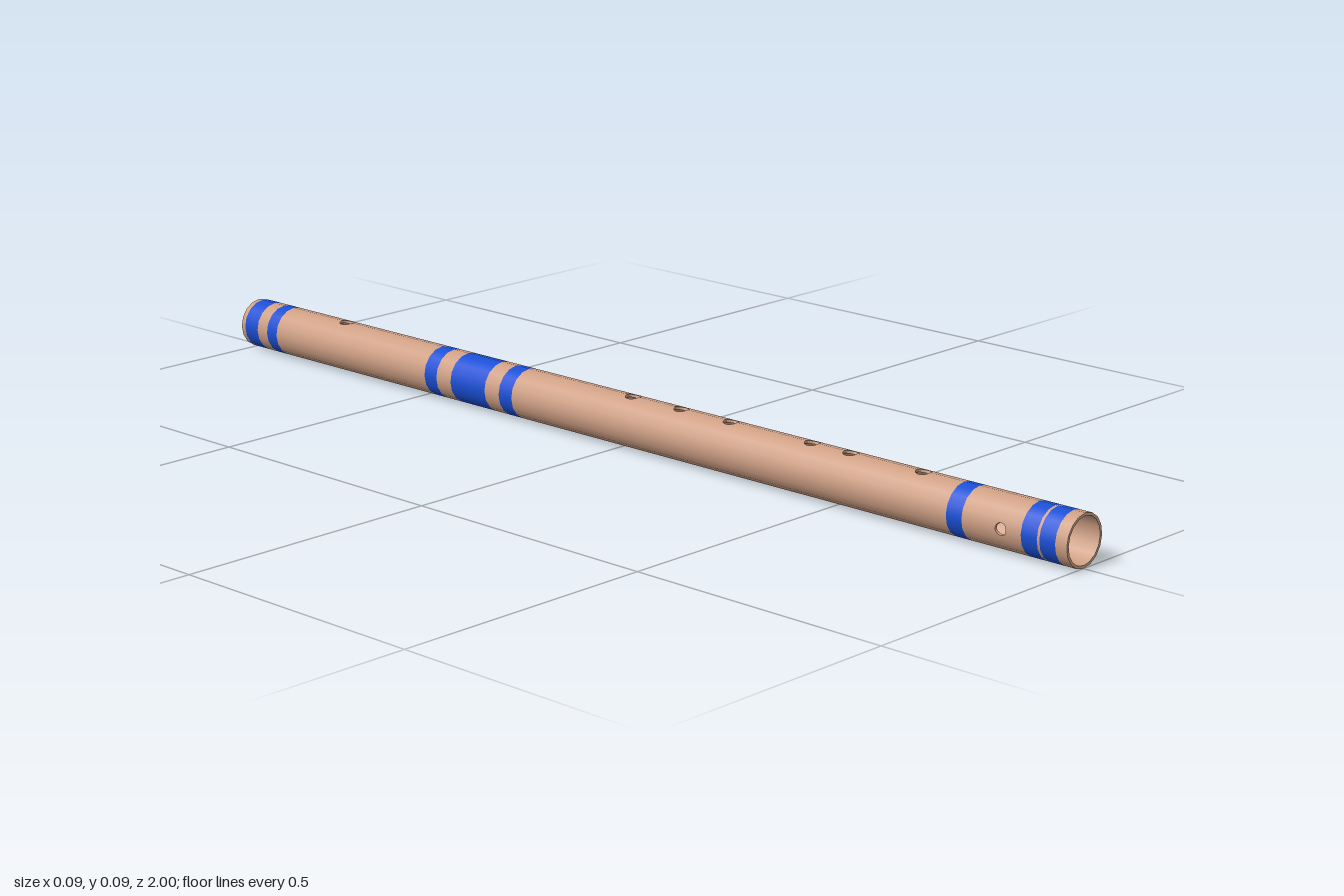
import * as THREE from 'three';
import { mergeGeometries } from 'three/addons/utils/BufferGeometryUtils.js';

const SIDES = 16, R_OUT = 0.0465, R_IN = 0.0415;
const FACET = (Math.PI * 2) / SIDES;
const UP = Math.PI, SIDE = Math.PI * 1.5; // angles round the tube
const PATCH = 0.018; // half length of the wall patch round a hole

// Painted bands: [start, end] along the tube
const BANDS = [
  [-0.99, -0.953], [-0.925, -0.897], [-0.478, -0.446], [-0.408, -0.318],
  [-0.281, -0.248], [0.757, 0.789], [0.909, 0.941], [0.946, 0.977],
];

// Holes: position along the tube, angle, radius
const HOLES = [
  ...[-0.743, 0.013, 0.13, 0.246, 0.431, 0.516, 0.672].map((z) => ({ z, angle: UP, r: 0.014 })),
  { z: 0.868, angle: SIDE, r: 0.011 },
];

// Surface of revolution between two profile points, optionally leaving a gap at an angle
function turned(r0, z0, r1, z1, gapAngle = null) {
  const profile = [new THREE.Vector2(r0, z0), new THREE.Vector2(r1, z1)];
  return gapAngle === null
    ? new THREE.LatheGeometry(profile, SIDES)
    : new THREE.LatheGeometry(profile, SIDES - 2, gapAngle + FACET, Math.PI * 2 - 2 * FACET);
}

// Outer and inner wall over one stretch of tube
function wall(z0, z1, gapAngle = null) {
  return mergeGeometries([
    turned(R_OUT, z0, R_OUT, z1, gapAngle),
    turned(R_IN, z1, R_IN, z0, gapAngle),
  ]);
}

// Flat plate with a round hole, bent to follow the tube wall
function holePatch({ z, angle, r }) {
  const w = FACET * R_OUT;
  const plate = new THREE.Shape([
    [-w, -PATCH], [0, -PATCH], [w, -PATCH], [w, PATCH], [0, PATCH], [-w, PATCH],
  ].map(([x, y]) => new THREE.Vector2(x, y)));
  plate.holes.push(new THREE.Path().absarc(0, 0, r, 0, Math.PI * 2, true));
  const geo = new THREE.ExtrudeGeometry(plate, { depth: R_OUT - R_IN, bevelEnabled: false, curveSegments: 10 });
  const pos = geo.attributes.position, nor = geo.attributes.normal;
  const axis = new THREE.Vector3(0, 1, 0), n = new THREE.Vector3();
  for (let i = 0; i < pos.count; i++) {
    const turn = pos.getX(i) / R_OUT, phi = angle + turn;
    const facet = Math.cos(FACET / 2) / Math.cos(Math.abs(turn) - FACET / 2);
    const radius = (R_IN + pos.getZ(i)) * facet;
    pos.setXYZ(i, radius * Math.sin(phi), pos.getY(i) + z, radius * Math.cos(phi));
    n.fromBufferAttribute(nor, i).applyAxisAngle(axis, phi);
    nor.setXYZ(i, n.x, n.y, n.z);
  }
  return geo;
}

export function createModel() {
  const model = new THREE.Group();
  const wood = new THREE.MeshStandardMaterial({ color: 0xcfa085 });
  const blue = new THREE.MeshStandardMaterial({ color: 0x1a4fd6 });

  // Geometries are made along y, then laid along z and raised to the ground
  const add = (name, geo, material) => {
    geo.rotateX(Math.PI / 2).translate(0, R_OUT, 0);
    const mesh = new THREE.Mesh(geo, material);
    mesh.name = name;
    model.add(mesh);
  };

  // Walk along the tube, filling plain wood between bands and holes
  const stops = [
    ...BANDS.map(([z0, z1]) => ({ z0, z1 })),
    ...HOLES.map((hole) => ({ z0: hole.z - PATCH, z1: hole.z + PATCH, hole })),
  ].sort((a, b) => a.z0 - b.z0);
  const plain = [];
  let z = -1;
  for (const { z0, z1, hole } of stops) {
    plain.push(wall(z, z0));
    if (hole) {
      plain.push(wall(z0, z1, hole.angle));
      add(hole.angle === UP ? 'fingerHole' : 'sideHole', holePatch(hole), wood);
    } else {
      // Band colour outside, wood inside
      add('paintedBand', turned(R_OUT, z0, R_OUT, z1), blue);
      plain.push(turned(R_IN, z1, R_IN, z0));
    }
    z = z1;
  }
  plain.push(wall(z, 1));

  // End rims
  plain.push(turned(R_OUT, 1, R_IN, 1), turned(R_IN, -1, R_OUT, -1));
  add('tube', mergeGeometries(plain), wood);
  return model;
}
